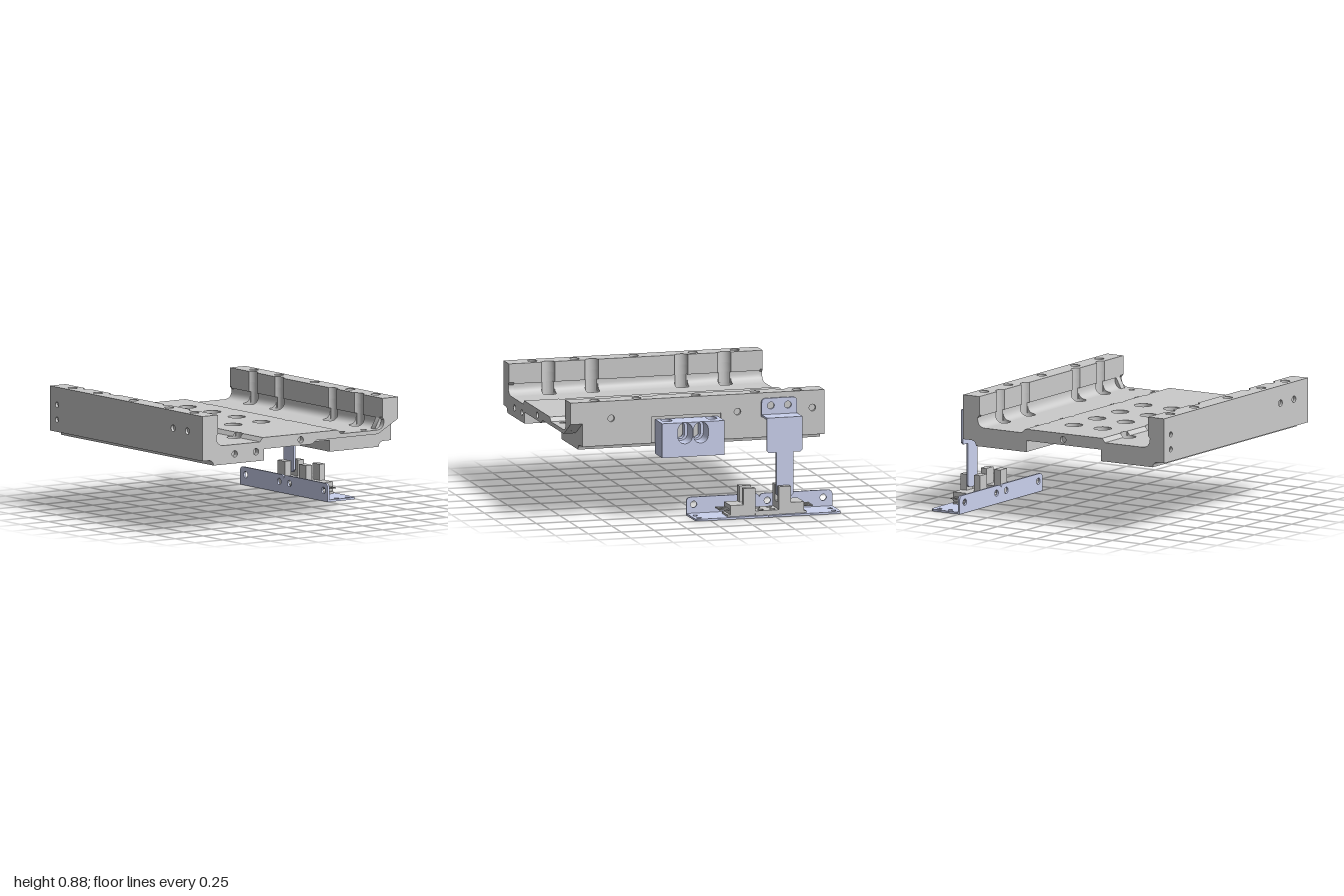
import * as THREE from 'three';
import { toCreasedNormals } from 'three/addons/utils/BufferGeometryUtils.js';

const grey = new THREE.MeshStandardMaterial({ color: 0xcccccc });
const blue = new THREE.MeshStandardMaterial({ color: 0xcad1ee });

export function createModel() {
  const model = new THREE.Group();
  let part, mat;
  const begin = (name, material) => {
    part = new THREE.Group();
    part.name = name;
    mat = material;
    model.add(part);
  };
  const add = (geo, name) => {
    const m = new THREE.Mesh(toCreasedNormals(geo, 0.6), mat);
    m.name = name;
    part.add(m);
  };

  // Shape helpers: a hole is [u, v, radius, halfLengthU, halfLengthV]
  const rect = (u0, v0, u1, v1) => [[u0, v0], [u1, v0], [u1, v1], [u0, v1]];
  const bez = (a, c, b) => new THREE.QuadraticBezierCurve(...[a, c, b].map(p => new THREE.Vector2(...p)))
    .getPoints(8).map(p => [p.x, p.y]);
  const rounded = (u0, v0, u1, v1, r, r2 = r) => [
    ...bez([u0, v0 + r2], [u0, v0], [u0 + r2, v0]), ...bez([u1 - r2, v0], [u1, v0], [u1, v0 + r2]),
    ...bez([u1, v1 - r], [u1, v1], [u1 - r, v1]), ...bez([u0 + r, v1], [u0, v1], [u0, v1 - r])];
  const extrude = (pts, holes, depth) => {
    const s = new THREE.Shape(pts.map(p => new THREE.Vector2(...p)));
    for (const [u, v, r, lu = 0, lv = 0] of holes) {
      const path = [];
      for (let i = 0; i < 28; i++) {
        const a = (i + 0.5) / 28 * Math.PI * 2, c = Math.cos(a), n = Math.sin(a);
        path.push(new THREE.Vector2(u + r * c + Math.sign(c) * lu, v + r * n + Math.sign(n) * lv));
      }
      s.holes.push(new THREE.Path(path));
    }
    return new THREE.ExtrudeGeometry(s, { depth, bevelEnabled: false });
  };
  // Slabs: outline in x/z, z/y or x/y, thickened along y, x or z
  const slabY = (name, pts, holes, y0, y1) => add(extrude(pts, holes, y1 - y0).rotateX(Math.PI / 2).translate(0, y1, 0), name);
  const slabX = (name, pts, holes, x0, x1) => add(extrude(pts, holes, x1 - x0).rotateY(-Math.PI / 2).translate(x1, 0, 0), name);
  const slabZ = (name, pts, holes, z0, z1) => add(extrude(pts, holes, z1 - z0).translate(0, 0, z0), name);
  const box = (name, x0, x1, y0, y1, z0, z1) => slabZ(name, rect(x0, y0, x1, y1), [], z0, z1);

  // Carriage: stacked slabs with counterbored screw holes
  begin('carriage', grey);
  const B = -0.92, F = 0.95, R = 0.055;
  const sideZ = [-0.65, -0.32, 0.36, 0.69], midZ = [-0.61, -0.30, 0.01, 0.32], topZ = [-0.75, -0.43, 0.02, 0.47, 0.79];
  const grid = (xs, zs, r) => xs.flatMap(x => zs.map(z => [x, z, r]));
  // edge at x interrupted by round reliefs of the holes centred at hx; s points into the material
  const notched = (x, hx, s, z0, z1) => {
    const a = Math.acos((x - hx) * s / R), out = [[x, z0]];
    for (const z of sideZ) for (let i = 0; i <= 12; i++) {
      const t = -a + 2 * a * i / 12;
      out.push([hx + s * R * Math.cos(t), z + R * Math.sin(t)]);
    }
    return [...out, [x, z1]];
  };
  // strips along z, left open where the screw holes pass
  const strips = (name, pts, gap) => {
    let z = B;
    for (const c of [...sideZ, F + gap]) {
      slabZ(name, pts, [], z, c - gap);
      z = c + gap;
    }
  };
  slabY('leftPadBottom', rect(-0.90, B, -0.45, F), grid([-0.84, -0.5], sideZ, 0.03), 0.51, 0.55);
  slabY('leftPad', rect(-0.98, B, -0.45, F), grid([-0.84, -0.5], sideZ, 0.03), 0.55, 0.595);
  slabY('rightPadBottom', rect(0.20, B, 0.64, 0.9), grid([0.25, 0.59], sideZ, 0.03), 0.51, 0.55);
  slabY('rightPad', rect(0.20, B, 0.73, 0.9), grid([0.25, 0.59], sideZ, 0.03), 0.55, 0.595);
  const deck = x => [[-0.98, B], [0.73, B], [0.73, 0.9], [x, 0.9], [x, F], [-0.98, F]];
  const sideX = [-0.84, -0.5, 0.25, 0.59], midX = [-0.25, 0];
  slabY('deckLower', deck(0), [...grid(sideX, sideZ, 0.03), ...grid(midX, midZ, 0.03)], 0.595, 0.62);
  slabY('deckUpper', deck(0.57), [...grid(sideX, sideZ, R), ...grid(midX, midZ, 0.065), ...grid([0.3, 0.49], [0.92], 0.022)], 0.62, 0.65);
  slabY('raisedCentre', [...notched(-0.46, -0.5, 1, B, F), ...notched(0.21, 0.25, -1, B, F).reverse()],
    grid(midX, midZ, 0.065), 0.65, 0.68);
  strips('leftStep', [[-0.485, 0.65], [-0.46, 0.65], [-0.46, 0.68]], 0.045);
  strips('rightStep', [[0.21, 0.65], [0.24, 0.65], [0.21, 0.68]], 0.045);

  // Side rails with relief grooves, inner fillets and blind top holes
  const rail = (side, outer, edge, hx, s, lowEnd) => {
    const out = (x, z1) => [...notched(x, hx, s, B, z1), [outer, z1], [outer, B]];
    slabY(side + 'RailFoot', out(edge + s * 0.015, lowEnd), [], 0.65, 0.73);
    slabY(side + 'Rail', out(edge, F), [], 0.73, 0.80);
    slabY(side + 'RailTop', out(edge, F), grid([side === 'left' ? -0.93 : 0.69], topZ, 0.035), 0.80, 0.88);
  };
  rail('left', -0.98, -0.86, -0.84, -1, F);
  rail('right', 0.73, 0.61, 0.59, 1, 0.9);
  const leftFillet = bez([-0.875, 0.72], [-0.875, 0.65], [-0.80, 0.65]);
  const rightFillet = bez([0.56, 0.65], [0.625, 0.65], [0.625, 0.72]);
  const leftUnder = bez([-0.95, 0.55], [-0.90, 0.55], [-0.90, 0.51]);
  const rightUnder = bez([0.64, 0.51], [0.64, 0.55], [0.69, 0.55]);
  strips('leftFillet', [...leftFillet, [-0.875, 0.65]], 0.05);
  strips('rightFillet', [...rightFillet, [0.625, 0.65]], 0.05);
  slabZ('leftUndercut', [...leftUnder, [-0.90, 0.55]], [], B, F);
  slabZ('rightUndercut', [...rightUnder, [0.64, 0.55]], [], B, 0.9);
  slabZ('cornerWedge', [[0.57, 0.62], [0.75, 0.72], [0.75, 0.75], [0.625, 0.75], [0.57, 0.65]], [], 0.9, F);

  // Outer side walls: the right one has a shallow pocket for the stop block
  slabX('rightWall', [[B, 0.55], [-0.155, 0.55], [-0.155, 0.745], [0.375, 0.745], [0.375, 0.55], [0.9, 0.55],
    [0.9, 0.72], [F, 0.72], [F, 0.88], [B, 0.88]], grid([0.68, -0.28, -0.85], [0.75], 0.025), 0.73, 0.75);
  slabX('leftWall', rect(B, 0.55, F, 0.88), [[-0.85, 0.75, 0.02], [-0.85, 0.64, 0.02], [0.62, 0.75, 0.025], [0.8, 0.75, 0.025]], -1, -0.98);

  // End caps follow the full cross-section; the front one is cut away low on the right
  const upper = [[-1, 0.55], [-1, 0.88], [-0.86, 0.88], [-0.86, 0.74], ...leftFillet, [-0.485, 0.65], [-0.46, 0.68],
    [0.21, 0.68], [0.24, 0.65], ...rightFillet, [0.61, 0.74], [0.61, 0.88], [0.75, 0.88]];
  const lowerLeft = [[-0.45, 0.595], [-0.45, 0.51], ...leftUnder.slice().reverse()];
  const endHoles = [[-0.71, 0.58, 0.024], [-0.52, 0.58, 0.024], [-0.12, 0.635, 0.024]];
  slabZ('frontCap', [...upper, [0.75, 0.72], [0.57, 0.62], [0.02, 0.62], [-0.02, 0.595], ...lowerLeft], endHoles, F, 0.99);
  slabZ('backCap', [...upper, [0.75, 0.55], ...rightUnder.slice().reverse(), [0.20, 0.51], [0.20, 0.595], ...lowerLeft],
    endHoles.slice(2), -0.94, B);

  // Stop block: slotted sideways in the middle, slotted vertically at both ends
  begin('stopBlock', blue);
  const slots = (r, l) => [[0.17, 0.645, r, 0, l], [0.05, 0.645, r, 0, l]];
  slabX('blockFace', rect(-0.01, 0.47, 0.23, 0.725), slots(0.056, 0.022), 0.80, 0.93);
  slabX('blockBack', rect(-0.01, 0.47, 0.23, 0.725), slots(0.033, 0.03), 0.745, 0.80);
  for (const [z0, z1, zc] of [[-0.13, -0.01, -0.065], [0.23, 0.345, 0.275]]) {
    slabY('blockEnd', rect(0.745, z0, 0.93, z1), [[0.80, zc, 0.024, 0.022]], 0.47, 0.66);
    slabY('blockEndTop', rect(0.745, z0, 0.93, z1), [[0.80, zc, 0.038, 0.015]], 0.66, 0.725);
  }

  // Sensor flag: screwed tab, bent shelf and a narrow hanging blade
  begin('sensorFlag', blue);
  slabX('flagTab', rounded(-0.73, 0.705, -0.46, 0.84, 0.035, 0.001), grid([-0.53, -0.66], [0.785], 0.026), 0.75, 0.765);
  box('flagShelf', 0.75, 0.905, 0.705, 0.72, -0.73, -0.46);
  slabX('flagBlade', [[-0.73, 0.72], [-0.73, 0.475], [-0.715, 0.46], [-0.66, 0.46], [-0.66, 0.15], [-0.64, 0.13],
    [-0.55, 0.13], [-0.53, 0.15], [-0.53, 0.46], [-0.475, 0.46], [-0.46, 0.475], [-0.46, 0.72]], [], 0.89, 0.905);

  // Sensor bracket: angle plate with two rounded ears
  begin('sensorBracket', blue);
  slabY('bracketBase', [[0.745, -1], ...bez([0.96, -1], [1, -1], [1, -0.96]), [1, -0.46], [0.99, -0.445], [1, -0.43],
    ...bez([1, 0.07], [1, 0.11], [0.96, 0.11]), [0.745, 0.11]],
    [...grid([0.85, 0.945], [-0.955, 0.07], 0.018), ...grid([0.85, 0.94], [-0.4, -0.49], 0.018)], 0, 0.015);
  for (const [z0, z1, holes] of [[-1, -0.445, [-0.93, -0.505]], [-0.445, 0.11, [0.055, -0.375]]])
    slabX('bracketEar', rounded(z0, 0, z1, 0.135, 0.035, 0.001), grid(holes, [0.08], 0.024), 0.742, 0.757);

  // Pair of fork sensors, mirrored about z = -0.44
  begin('forkSensors', grey);
  slabY('sensorFoot', rect(0.81, -0.53, 0.98, -0.35), grid([0.85, 0.94], [-0.4, -0.49], 0.022), 0.015, 0.05);
  for (const s of [-1, 1]) {
    const span = (a, b) => [-0.44 + s * a, -0.44 + s * b].sort((p, q) => p - q);
    box('sensorBody', 0.81, 0.98, 0.03, 0.10, ...span(0.09, 0.28));
    box('sensorSkirt', 0.82, 0.97, 0.015, 0.03, ...span(0.09, 0.30));
    for (const [x0, x1] of [[0.81, 0.865], [0.93, 0.98]])
      box('sensorPost', x0, x1, 0.10, 0.22, ...span(0.09, 0.18));
    for (let i = 0; i < 4; i++)
      box('sensorPin', 0.83 + i * 0.035, 0.848 + i * 0.035, 0.06, 0.068, ...span(0.28, 0.355));
  }
  return model;
}
